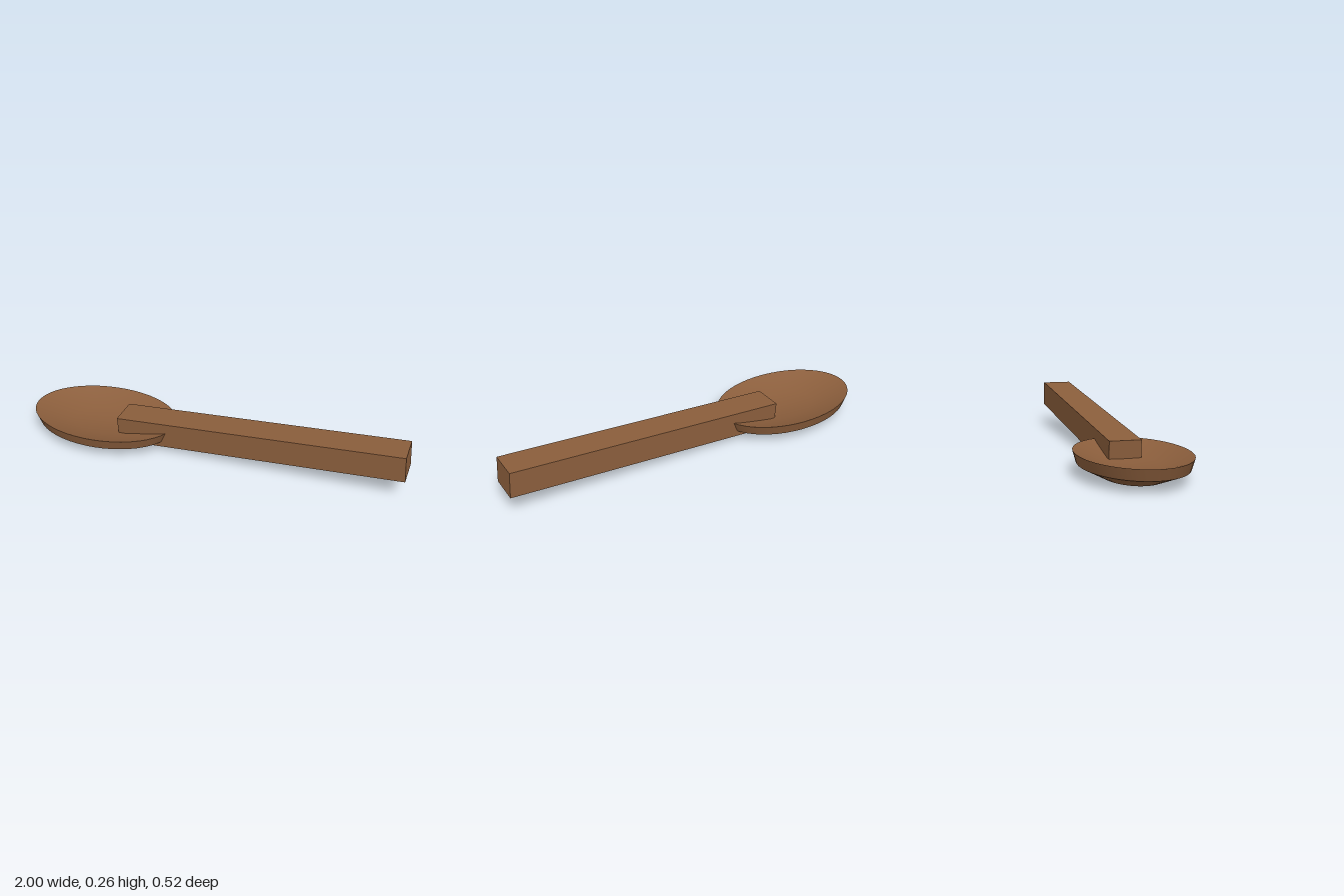
import * as THREE from 'three';
import { toCreasedNormals } from 'three/addons/utils/BufferGeometryUtils.js';

export function createModel() {
  const model = new THREE.Group();
  model.name = 'spoon';
  const wood = new THREE.MeshStandardMaterial({ color: 0x8b5e3c });
  wood.name = 'brown wood';

  // Oval bowl: outer wall up to the rim, then down into the shallow hollow
  const profile = [
    [0, 0], [0.135, 0], [0.245, 0.057], [0.26, 0.112],
    [0.227, 0.098], [0.12, 0.06], [0, 0.056],
  ].map(([r, y]) => new THREE.Vector2(r, y));
  const bowlGeometry = new THREE.LatheGeometry(profile, 48);
  bowlGeometry.scale(0.395 / 0.26, 1, 1);
  const bowl = new THREE.Mesh(toCreasedNormals(bowlGeometry, 0.4), wood);
  bowl.name = 'bowl';
  bowl.position.x = -0.605;
  model.add(bowl);

  // Straight square handle, rising gently away from the bowl
  const handle = new THREE.Mesh(new THREE.BoxGeometry(1.494, 0.135, 0.155), wood);
  handle.name = 'handle';
  handle.position.set(0.25, 0.133, 0);
  handle.rotation.z = 0.075;
  model.add(handle);

  return model;
}
